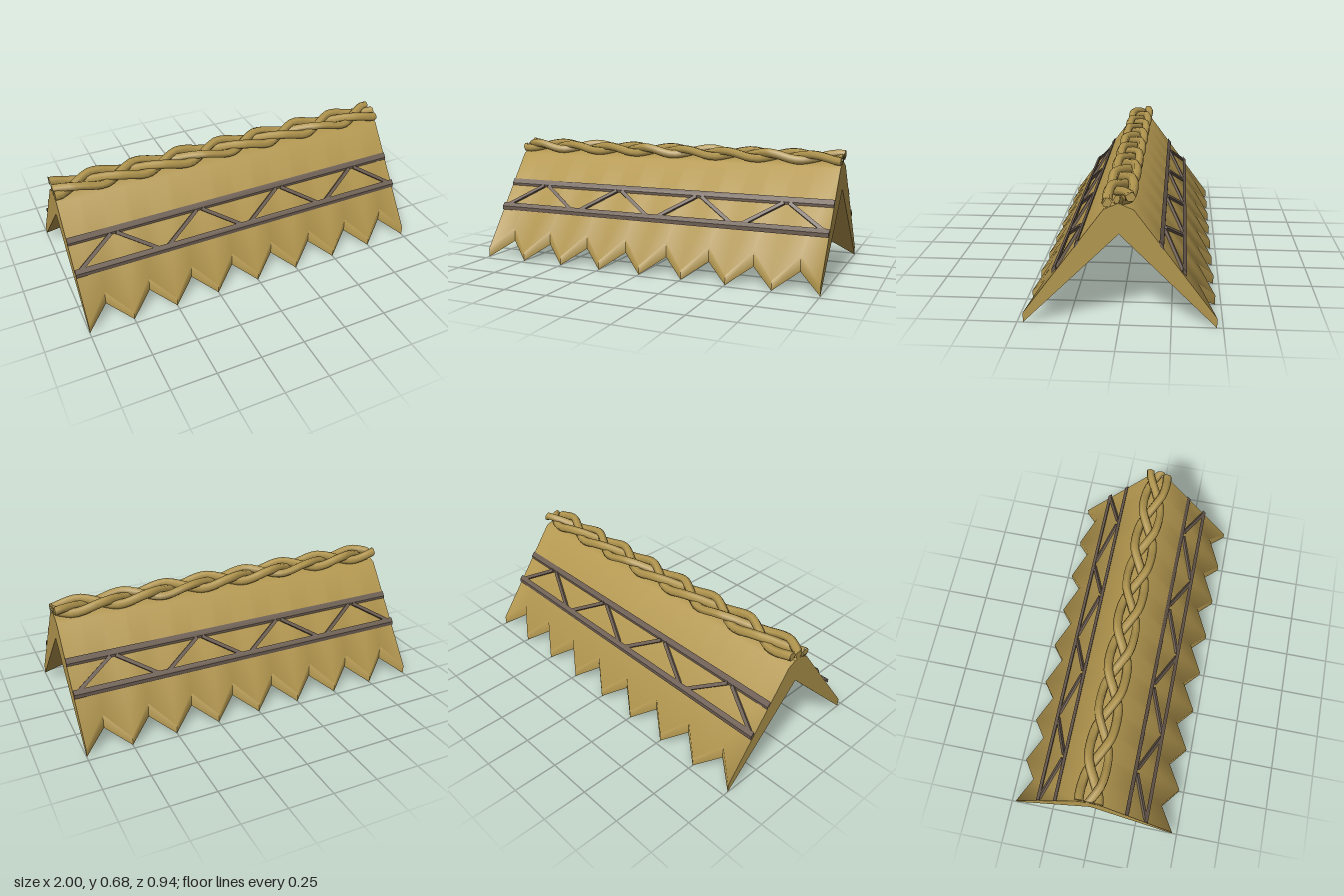
import * as THREE from 'three';
import { toCreasedNormals } from 'three/addons/utils/BufferGeometryUtils.js';

const thatch = new THREE.MeshStandardMaterial({ color: 0xb3974f });
thatch.name = 'thatch';
const wood = new THREE.MeshStandardMaterial({ color: 0x6b5c50 });
wood.name = 'weathered wood';

function addMesh(parent, name, geometry, material) {
  const mesh = new THREE.Mesh(geometry, material);
  mesh.name = name;
  parent.add(mesh);
  return mesh;
}

// Cross-section loop [z, y] of the roof whose eaves reach out to e
function roofSection(e) {
  const half = [[e, 0.47 - e], [e, 0.05 + (0.47 - e) * 1.35], [0.07, 0.59]];
  const mirrored = half.map(([z, y]) => [-z, y]).reverse();
  return [[0, 0.47], ...half, [0, 0.62], ...mirrored];
}

// Thick gabled roof with saw-tooth eaves
function roofGeometry() {
  const positions = [];
  const teeth = 8;
  const steps = teeth * 2;
  const rings = [];
  for (let i = 0; i <= steps; i++) {
    const x = -1 + (2 * i) / steps;
    rings.push(roofSection(i % 2 ? 0.38 : 0.47).map(([z, y]) => [x, y, z]));
  }
  const tri = (a, b, c) => positions.push(...a, ...b, ...c);
  for (let i = 0; i < steps; i++) {
    const p = rings[i], q = rings[i + 1];
    for (let j = 0; j < 8; j++) {
      const k = (j + 1) % 8;
      tri(p[j], q[j], q[k]);
      tri(p[j], q[k], p[k]);
    }
  }
  // gable ends
  const first = rings[0], last = rings[steps];
  for (let j = 1; j < 7; j++) {
    tri(first[0], first[j], first[j + 1]);
    tri(last[0], last[j + 1], last[j]);
  }
  const g = new THREE.BufferGeometry();
  g.setAttribute('position', new THREE.Float32BufferAttribute(positions, 3));
  return toCreasedNormals(g, 0.9);
}

// Rail running along x, with a slanted profile given as [z, y]
function railGeometry(profile) {
  const shape = new THREE.Shape(profile.map(([z, y]) => new THREE.Vector2(-z, y)));
  const g = new THREE.ExtrudeGeometry(shape, { depth: 2, bevelEnabled: false });
  g.rotateY(Math.PI / 2);
  g.translate(-1, 0, 0);
  return g;
}

// Two rails and zigzag rods on one slope
function lattice(name) {
  const group = new THREE.Group();
  group.name = name;
  addMesh(group, 'upperRail', railGeometry([[0.19, 0.44], [0.21, 0.415], [0.21, 0.393], [0.19, 0.418]]), wood);
  addMesh(group, 'lowerRail', railGeometry([[0.3, 0.307], [0.32, 0.287], [0.32, 0.265], [0.3, 0.285]]), wood);

  const normal = new THREE.Vector3(0, 0.4, 0.54).normalize();
  for (let i = 0; i < 8; i++) {
    const rising = i % 2 === 0;
    const x0 = -1 + i * 0.25;
    const low = new THREE.Vector3(rising ? x0 + 0.015 : x0 + 0.235, 0.284, 0.303);
    const high = new THREE.Vector3(rising ? x0 + 0.235 : x0 + 0.015, 0.409, 0.21);
    const along = high.clone().sub(low);
    const rod = addMesh(group, 'latticeRod', new THREE.BoxGeometry(along.length(), 0.02, 0.018), wood);
    const dir = along.normalize();
    const side = normal.clone().cross(dir).normalize();
    const up = dir.clone().cross(side);
    rod.quaternion.setFromRotationMatrix(new THREE.Matrix4().makeBasis(dir, side, up));
    rod.position.copy(low).add(high).multiplyScalar(0.5);
  }
  return group;
}

// One strand of the three-strand ridge braid
function braidStrand(phase) {
  const group = new THREE.Group();
  group.name = 'braidStrand';
  const period = 0.75, radius = 0.025;
  const pointAt = (x) => {
    const t = ((x - 1) / period) * Math.PI * 2 + phase;
    const z = 0.055 * THREE.MathUtils.clamp(1.2 * Math.sin(t), -1, 1);
    return new THREE.Vector3(x, 0.637 + 0.017 * Math.sin(2 * t), z);
  };
  const points = [];
  for (let i = 0; i <= 33; i++) points.push(pointAt(-1.03125 + i * 0.0625));
  const tube = new THREE.TubeGeometry(new THREE.CatmullRomCurve3(points), 66, radius, 6);
  // trim flush with the gable ends
  const pos = tube.attributes.position;
  for (let i = 0; i < pos.count; i++) pos.setX(i, THREE.MathUtils.clamp(pos.getX(i), -1, 1));
  addMesh(group, 'strandRope', tube, thatch);
  for (const s of [-1, 1]) {
    const cap = addMesh(group, 'strandEnd', new THREE.CircleGeometry(radius, 6), thatch);
    cap.rotation.y = (s * Math.PI) / 2;
    cap.position.copy(pointAt(s));
  }
  return group;
}

export function createModel() {
  const model = new THREE.Group();
  model.name = 'thatchedRoof';
  addMesh(model, 'roofThatch', roofGeometry(), thatch);

  const front = lattice('frontLattice');
  const back = lattice('backLattice');
  back.rotation.y = Math.PI;
  model.add(front, back);

  const braid = new THREE.Group();
  braid.name = 'ridgeBraid';
  for (let i = 0; i < 3; i++) braid.add(braidStrand((i * Math.PI * 2) / 3));
  model.add(braid);
  return model;
}
